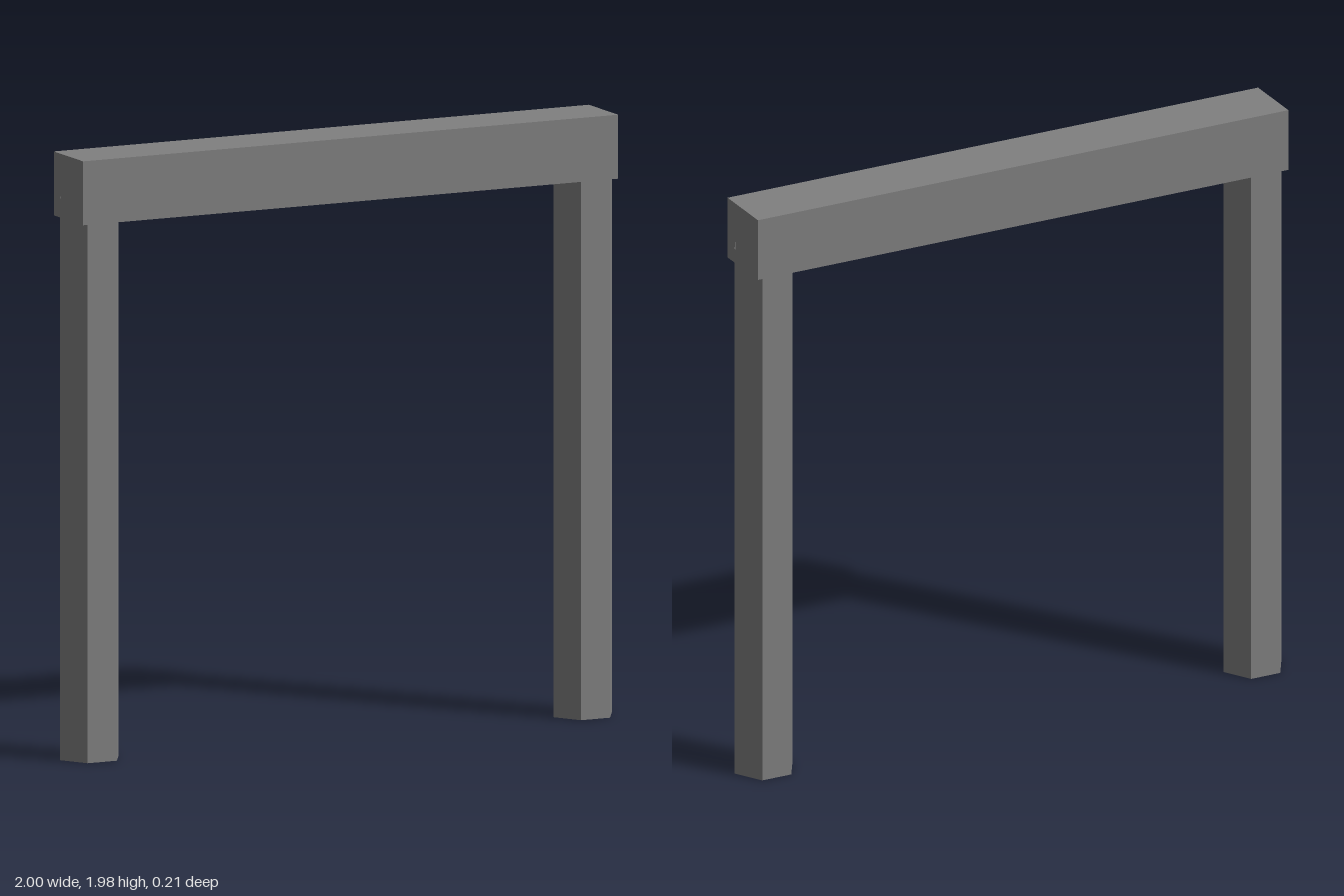
import * as THREE from 'three';

export function createModel() {
  const model = new THREE.Group();
  model.name = 'gateFrame';

  const grey = new THREE.MeshStandardMaterial({
    color: 0x808080, flatShading: true, side: THREE.DoubleSide,
  });
  grey.name = 'grey';

  // Square crossbeam
  const beam = new THREE.Mesh(new THREE.BoxGeometry(1.94, 0.21, 0.21), grey);
  beam.name = 'crossbeam';
  beam.position.y = 1.875;
  model.add(beam);

  // Hollow hexagonal posts, open at both ends, with a corner facing outward
  const radius = 0.106, height = 1.845;
  const postGeometry = new THREE.CylinderGeometry(radius, radius, height, 6, 1, true, Math.PI / 6);
  for (const side of [-1, 1]) {
    const post = new THREE.Mesh(postGeometry, grey);
    post.name = side > 0 ? 'leftPost' : 'rightPost';
    post.position.set(side * (1 - radius), height / 2, 0);
    model.add(post);
  }

  return model;
}
